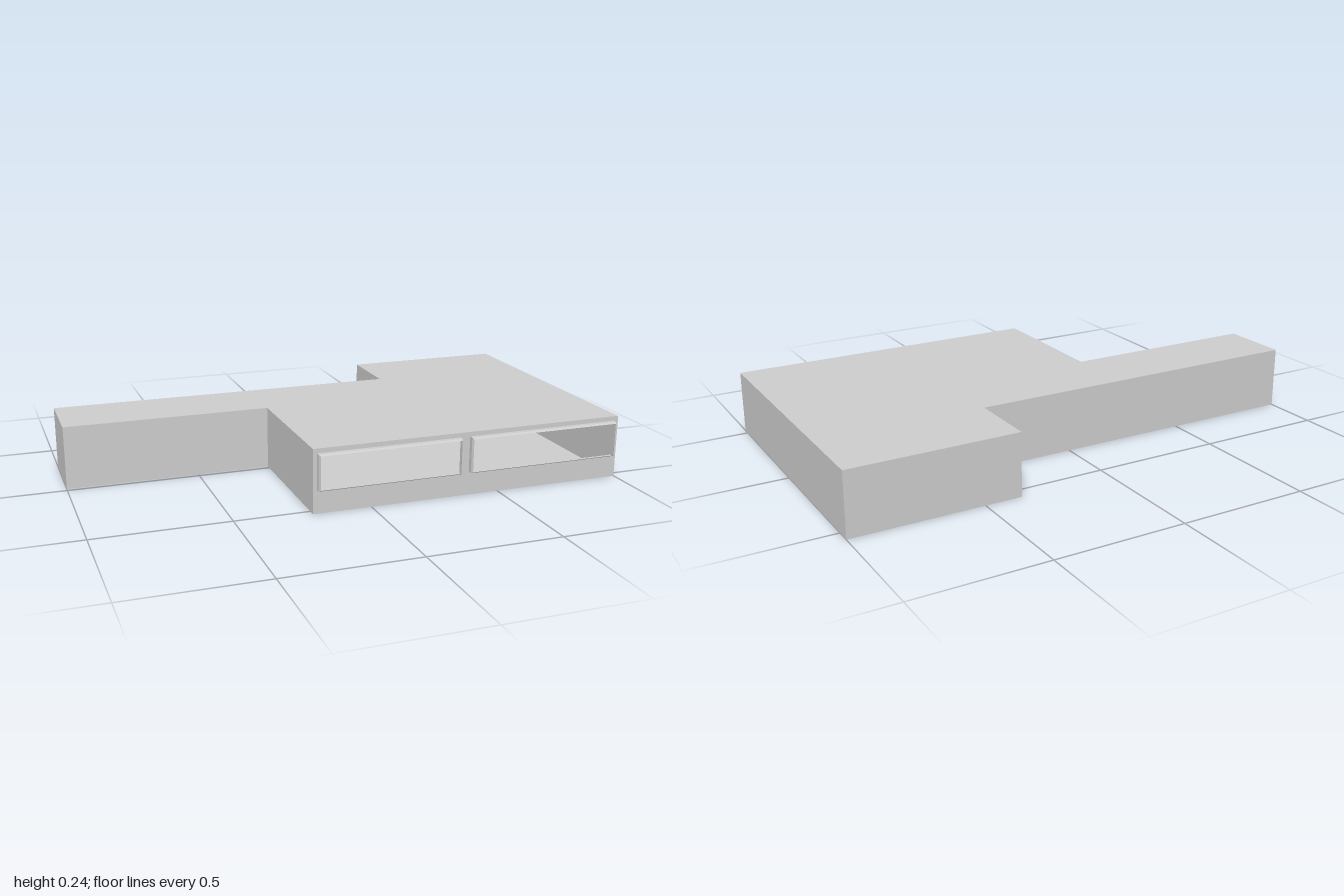
import * as THREE from 'three';

const HEIGHT = 0.24;
const FRONT = 0.53;

// Floor outline as [x, z]; its first edge is the front wall
const OUTLINE = [
  [-0.22, FRONT], [1, FRONT], [1, -0.555], [0.36, -0.555],
  [0.36, -0.285], [-1, -0.285], [-1, -0.015], [-0.22, -0.015],
];

// Window openings in the front wall
const WINDOWS = [
  { name: 'leftWindow', x0: 0.38, x1: 0.98, y0: 0.088, y1: 0.223 },
  { name: 'rightWindow', x0: -0.205, x1: 0.342, y0: 0.088, y1: 0.223 },
];

const material = new THREE.MeshStandardMaterial({
  color: 0xcccccc, side: THREE.DoubleSide, flatShading: true,
});

function part(name, geometry) {
  const mesh = new THREE.Mesh(geometry, material);
  mesh.name = name;
  return mesh;
}

// Corners of a window rectangle, shrunk by inset, at depth z
function ring({ x0, x1, y0, y1 }, inset, z) {
  return [
    [x0 + inset, y0 + inset, z], [x1 - inset, y0 + inset, z],
    [x1 - inset, y1 - inset, z], [x0 + inset, y1 - inset, z],
  ];
}

// Open four-sided sleeve through a series of rings
function sleeve(rings) {
  const positions = [];
  for (let r = 0; r < rings.length - 1; r++) {
    for (let i = 0; i < 4; i++) {
      const j = (i + 1) % 4;
      const a = rings[r][i], b = rings[r][j], c = rings[r + 1][j], d = rings[r + 1][i];
      positions.push(...a, ...b, ...c, ...a, ...c, ...d);
    }
  }
  const geometry = new THREE.BufferGeometry();
  geometry.setAttribute('position', new THREE.Float32BufferAttribute(positions, 3));
  geometry.computeVertexNormals();
  return geometry;
}

export function createModel() {
  const model = new THREE.Group();
  model.name = 'building';

  // Roof and floor sheets
  const plan = new THREE.Shape(OUTLINE.map(([x, z]) => new THREE.Vector2(x, -z)));
  const roof = new THREE.ShapeGeometry(plan).rotateX(-Math.PI / 2).translate(0, HEIGHT, 0);
  const floorPlan = new THREE.Shape(OUTLINE.map(([x, z]) => new THREE.Vector2(x, z)));
  const floor = new THREE.ShapeGeometry(floorPlan).rotateX(Math.PI / 2);
  model.add(part('roof', roof), part('floor', floor));

  // Plain outer walls; the front edge is skipped
  const walls = new THREE.Group();
  walls.name = 'walls';
  for (let i = 1; i < OUTLINE.length; i++) {
    const [ax, az] = OUTLINE[i];
    const [bx, bz] = OUTLINE[(i + 1) % OUTLINE.length];
    const wall = new THREE.PlaneGeometry(Math.hypot(bx - ax, bz - az), HEIGHT);
    wall.rotateY(Math.atan2(az - bz, bx - ax));
    wall.translate((ax + bx) / 2, HEIGHT / 2, (az + bz) / 2);
    walls.add(part('wall', wall));
  }
  model.add(walls);

  // Front wall with its window openings
  const face = new THREE.Shape([
    new THREE.Vector2(-0.22, 0), new THREE.Vector2(1, 0),
    new THREE.Vector2(1, HEIGHT), new THREE.Vector2(-0.22, HEIGHT),
  ]);
  for (const w of WINDOWS) {
    face.holes.push(new THREE.Path(ring(w, 0, 0).reverse().map(([x, y]) => new THREE.Vector2(x, y))));
  }
  model.add(part('frontWall', new THREE.ShapeGeometry(face).translate(0, 0, FRONT)));

  // Thin projecting window surrounds with a bevelled lip
  for (const w of WINDOWS) {
    const rings = [ring(w, 0, FRONT), ring(w, 0, 0.547), ring(w, 0.005, 0.555)];
    model.add(part(w.name + 'Frame', sleeve(rings)));
  }
  return model;
}
